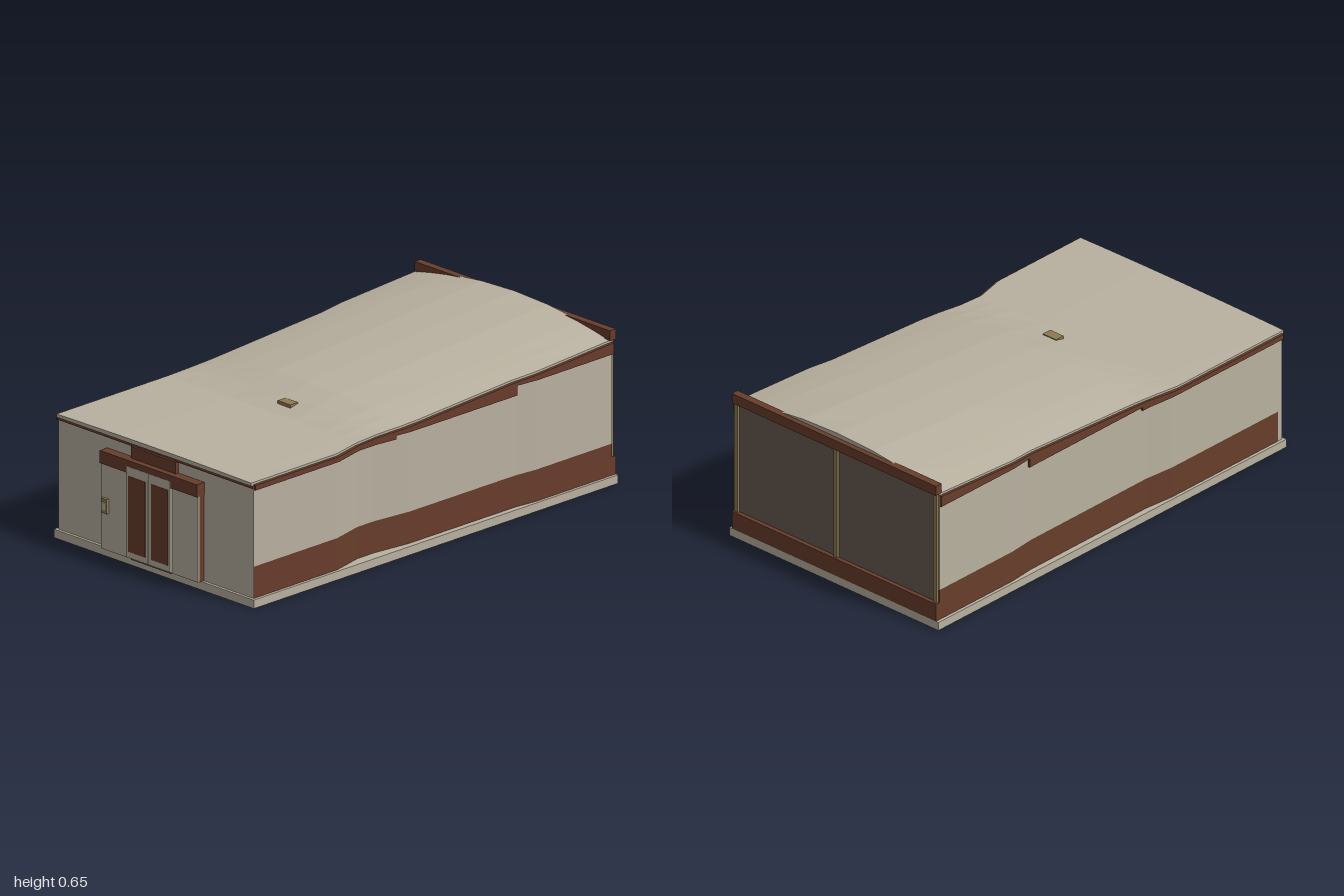
import * as THREE from 'three';

const mat = (name, color, extra = {}) => Object.assign(new THREE.MeshStandardMaterial({ color, ...extra }), { name });

// Linear interpolation in a table of [z, value], z falling from front to back
function at(table, z) {
  if (z >= table[0][0]) return table[0][1];
  for (let i = 1; i < table.length; i++) {
    const [z0, a] = table[i - 1], [z1, b] = table[i];
    if (z >= z1) return a + (b - a) * (z0 - z) / (z0 - z1);
  }
  return table[table.length - 1][1];
}

// Closed, flat-shaded solid through a row of equal-length rings of [x, y, z]
function loft(rings) {
  const tris = [], n = rings[0].length;
  for (let i = 0; i < rings.length - 1; i++) {
    for (let j = 0; j < n; j++) {
      const k = (j + 1) % n, a = rings[i], b = rings[i + 1];
      tris.push([a[j], b[j], b[k]], [a[j], b[k], a[k]]);
    }
  }
  const first = rings[0], last = rings[rings.length - 1];
  for (let j = 1; j < n - 1; j++) {
    tris.push([first[0], first[j], first[j + 1]], [last[0], last[j + 1], last[j]]);
  }
  // Turn the faces outward
  let volume = 0;
  const p = new THREE.Vector3(), q = new THREE.Vector3(), r = new THREE.Vector3();
  for (const t of tris) volume += p.set(...t[0]).dot(q.set(...t[1]).cross(r.set(...t[2])));
  if (volume < 0) tris.forEach(t => t.reverse());
  const geo = new THREE.BufferGeometry();
  geo.setAttribute('position', new THREE.Float32BufferAttribute(tris.flat(2), 3));
  geo.computeVertexNormals();
  return geo;
}

export function createModel() {
  const group = new THREE.Group();
  const beige = mat('beigePlaster', 0xb9b1a0);
  const brown = mat('brownTrim', 0x683d2c);
  const dark = mat('darkPanel', 0x685a51);
  const gold = mat('bronze', 0x8d7a52);

  const add = (name, geo, material) => {
    const mesh = new THREE.Mesh(geo, material);
    mesh.name = name;
    group.add(mesh);
    return mesh;
  };
  // Box given by its limits
  const box = (name, material, x0, x1, y0, y1, z0, z1) =>
    add(name, new THREE.BoxGeometry(x1 - x0, y1 - y0, z1 - z0), material)
      .position.set((x0 + x1) / 2, (y0 + y1) / 2, (z0 + z1) / 2);

  // Plan outlines of the side walls, as [z, distance from the centre line]
  const leftWall = [[0.95, 0.535], [0.5, 0.535], [0.36, 0.502], [0.27, 0.502], [0.1, 0.522], [-0.47, 0.524], [-0.57, 0.535], [-0.98, 0.535]];
  const rightWall = [[0.95, 0.535], [0.33, 0.535], [0.2, 0.522], [-0.45, 0.524], [-0.57, 0.535], [-0.98, 0.535]];
  // Roof heights
  const eave = [[0.96, 0.51], [0.37, 0.51], [-0.98, 0.59]];
  const crown = [[0.96, 0.005], [0.37, 0.006], [0.14, 0.046], [-0.5, 0.052], [-0.98, 0.06]];

  box('baseSlab', beige, -0.548, 0.548, 0, 0.035, -1, 0.963);

  // Side walls with a brown lower band and a stepped trim under the eaves
  const trimSteps = [[0.95, 0.17, 0.48], [0.17, -0.47, 0.495], [-0.47, -0.98, 0.535]];
  for (const [side, s, wall] of [['left', 1, leftWall], ['right', -1, rightWall]]) {
    const strip = (z0, z1, out, thick, bottom, top) => {
      const zs = [z0, ...wall.map(w => w[0]).filter(z => z < z0 && z > z1), 0.37, z1]
        .filter(z => z <= z0 && z >= z1);
      return loft([...new Set(zs)].sort((a, b) => b - a).map(z => {
        const x = at(wall, z) + out;
        return [[s * x, bottom, z], [s * x, top(z), z], [s * (x - thick), top(z), z], [s * (x - thick), bottom, z]];
      }));
    };
    add(side + 'WallBand', strip(0.949, -0.98, 0, 0.02, 0.035, () => 0.165), brown);
    add(side + 'Wall', strip(0.949, -0.98, 0, 0.02, 0.165, z => at(eave, z) - 0.012), beige);
    for (const [z0, z1, y] of trimSteps) {
      add(side + 'EaveTrim', strip(z0, z1, 0.01, 0.04, y, z => at(eave, z) - 0.009), brown);
    }
  }

  // Arched roof, following the wall plan
  const roofZ = [0.962, 0.5, 0.37, 0.25, 0.14, 0.05, -0.2, -0.45, -0.57, -0.8, -0.978];
  const across = [-1, -0.84, -0.67, -0.34, 0, 0.34, 0.67, 0.84, 1];
  add('roof', loft(roofZ.map(z => {
    const xr = at(rightWall, z) - 0.001, xl = at(leftWall, z) - 0.003, y = at(eave, z);
    const top = across.map(t => [t < 0 ? t * xr : t * xl, y + at(crown, z) * (1 - t * t), z]);
    return [[-xr, y - 0.013, z], ...top, [xl, y - 0.013, z]];
  })), beige);
  box('roofVent', gold, 0.016, 0.086, 0.525, 0.542, 0.27, 0.312);

  // Front wall
  box('frontWall', beige, -0.535, 0.535, 0.035, 0.499, 0.93, 0.951);
  box('frontEaveStrip', brown, -0.535, 0.535, 0.485, 0.496, 0.94, 0.956);

  // Entrance surround
  box('entranceSurround', brown, -0.264, 0.264, 0.037, 0.41, 0.95, 0.977);
  box('entranceBeam', brown, -0.267, 0.265, 0.388, 0.44, 0.95, 0.992);
  box('entranceHeader', brown, -0.122, 0.122, 0.44, 0.488, 0.945, 0.966);
  for (const s of [-1, 1]) {
    const mirrored = (name, m, a, b, ...rest) => box(name, m, Math.min(s * a, s * b), Math.max(s * a, s * b), ...rest);
    mirrored('sidePanel', beige, 0.122, 0.264, 0.037, 0.39, 0.976, 0.985);
    mirrored('doorLeaf', beige, 0.002, 0.12, 0.042, 0.415, 0.97, 0.993);
    mirrored('doorPane', brown, 0.016, 0.108, 0.067, 0.377, 0.99, 0.9945);
  }
  box('doorThreshold', dark, -0.1, 0.12, 0.035, 0.042, 0.96, 0.988);
  box('entryPanel', gold, -0.256, -0.224, 0.19, 0.25, 0.983, 0.997);
  box('entryScreen', beige, -0.249, -0.228, 0.205, 0.235, 0.995, 1);

  // Back wall: dark panels between posts and brown beams
  box('backPanels', dark, -0.53, 0.53, 0.04, 0.595, -0.982, -0.965);
  box('backLowerBeam', brown, -0.535, 0.535, 0.035, 0.11, -1, -0.975);
  box('backUpperBeam', brown, -0.535, 0.535, 0.588, 0.63, -1, -0.968);
  for (const x of [-0.522, 0, 0.522]) box('backPost', gold, x - 0.009, x + 0.009, 0.11, 0.588, -0.992, -0.975);

  return group;
}
